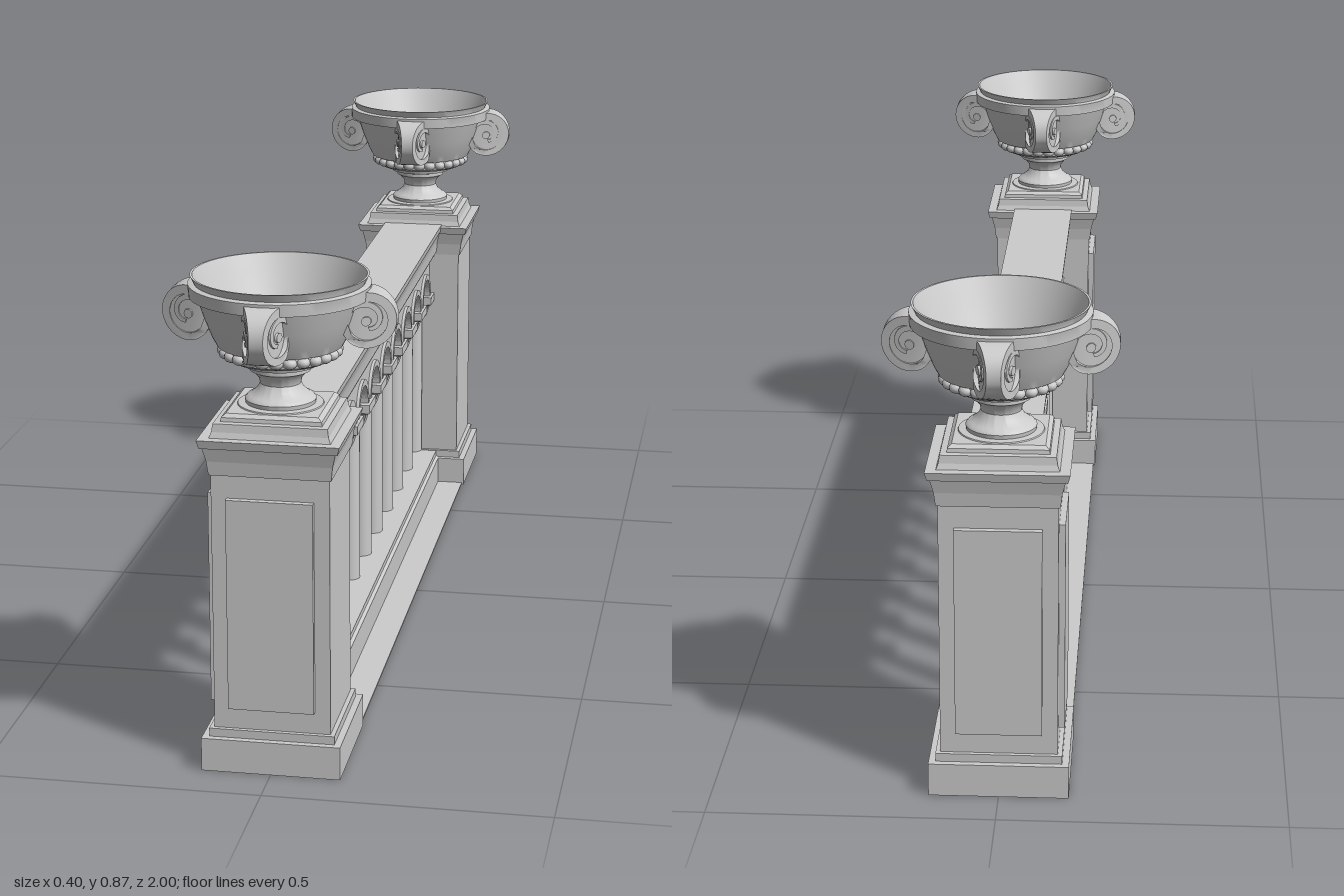
import * as THREE from 'three';
import { toCreasedNormals } from 'three/addons/utils/BufferGeometryUtils.js';

const material = new THREE.MeshStandardMaterial({ color: 0xcccccc });

function add(parent, name, geometry, x = 0, y = 0, z = 0) {
  const mesh = new THREE.Mesh(geometry, material);
  mesh.name = name;
  mesh.position.set(x, y, z);
  parent.add(mesh);
  return mesh;
}

const vectors = (points) => points.map(([x, y]) => new THREE.Vector2(x, y));
const crease = (geometry, angle = 0.6) => toCreasedNormals(geometry, angle);

// Turned part; with four sides the profile x is the half width of a square
function turned(points, sides = 48) {
  return crease(new THREE.LatheGeometry(vectors(points), sides));
}
function squareTurned(points) {
  const wide = points.map(([x, y]) => [x * Math.SQRT2, y]);
  return crease(new THREE.LatheGeometry(vectors(wide), 4, Math.PI / 4), 0.1);
}

// Shape extruded by depth, centred on its thickness
function slab(shape, depth) {
  const geometry = new THREE.ExtrudeGeometry(shape, { depth, bevelEnabled: false, curveSegments: 20 });
  return crease(geometry.translate(0, 0, -depth / 2));
}

// Symmetric cross-section from its right half (listed bottom to top)
function mirrored(half) {
  const left = half.map(([x, y]) => [-x, y]).reverse();
  return new THREE.Shape(vectors([...half, ...left]));
}

const PILLAR_Z = 0.8;
const SPACING = 0.1385;
const ARCH_Y = 0.445;
const ARCH_R = 0.048;

function createPillar(side) {
  const pillar = new THREE.Group();
  pillar.name = 'pillar';
  // Hollow foot, shaft, flared cap and stepped urn plinth
  add(pillar, 'pillarBody', squareTurned([
    [0, 0.05], [0.112, 0.05], [0.112, 0], [0.122, 0], [0.122, 0.06], [0.11, 0.06], [0.11, 0.075],
    [0.102, 0.075], [0.102, 0.535], [0.105, 0.535], [0.108, 0.56], [0.114, 0.585], [0.118, 0.585],
    [0.122, 0.6], [0.104, 0.6], [0.1, 0.61], [0.098, 0.624], [0.087, 0.625], [0.086, 0.632],
    [0.079, 0.638], [0, 0.638],
  ]).scale(1, 1, 0.965));
  // Raised panels on the outer end and on one long side
  const panel = new THREE.BoxGeometry(0.15, 0.38, 0.03);
  add(pillar, 'panel', panel, 0, 0.305, side * 0.095);
  add(pillar, 'panel', panel, -0.098, 0.305, 0).rotation.y = Math.PI / 2;
  return pillar;
}

// Scroll thins toward its outer edge and ends within the bowl wall
function taper(geometry) {
  const p = geometry.attributes.position;
  for (let i = 0; i < p.count; i++) {
    const wall = 0.12 + (p.getY(i) - 0.795) * 0.45;
    p.setX(i, Math.max(p.getX(i), wall));
    const t = THREE.MathUtils.clamp((p.getX(i) - 0.13) / 0.07, 0, 1);
    p.setZ(i, p.getZ(i) * THREE.MathUtils.lerp(0.038, 0.012, t));
  }
  return crease(geometry);
}

function createScroll() {
  const scroll = new THREE.Group();
  scroll.name = 'scroll';
  const cx = 0.152, cy = 0.795, steps = 48;
  const outer = [[0.12, cy + 0.05]], inner = [[0.12, cy + 0.034]];
  for (let i = 0; i <= steps; i++) {
    const t = i / steps;
    const a = Math.PI / 2 - t * Math.PI * 2.9;
    const r = 0.05 - 0.033 * t * t;
    const w = 0.016 - 0.009 * t;
    outer.push([cx + r * Math.cos(a), cy + r * Math.sin(a)]);
    inner.push([cx + (r - w) * Math.cos(a), cy + (r - w) * Math.sin(a)]);
  }
  add(scroll, 'scrollBand', taper(slab(new THREE.Shape(vectors([...outer, ...inner.reverse()])), 2)));
  const disc = (r) => new THREE.Shape().absarc(cx, cy, r, 0, Math.PI * 2, false);
  add(scroll, 'scrollCore', taper(slab(disc(0.042), 1.7)));
  add(scroll, 'scrollEye', taper(slab(disc(0.008), 2)));
  return scroll;
}

function createUrn() {
  const urn = new THREE.Group();
  urn.name = 'urn';
  // Foot, neck, bowl, rim and hollow inside
  add(urn, 'urnBody', turned([
    [0.075, 0.636], [0.073, 0.64], [0.06, 0.641], [0.061, 0.648], [0.057, 0.653],
    [0.052, 0.655], [0.04, 0.665], [0.035, 0.675], [0.037, 0.685], [0.046, 0.695], [0.052, 0.698],
    [0.052, 0.705], [0.064, 0.708], [0.066, 0.714], [0.085, 0.718], [0.097, 0.724], [0.098, 0.741],
    [0.107, 0.743], [0.116, 0.76], [0.128, 0.79], [0.137, 0.818], [0.14, 0.827], [0.154, 0.829],
    [0.155, 0.85], [0.145, 0.852], [0.151, 0.865], [0.147, 0.865], [0.135, 0.84], [0.112, 0.79],
    [0.092, 0.752], [0, 0.752],
  ], 64));
  // Ring of beads below the bowl
  const bead = new THREE.SphereGeometry(0.0125, 12, 8).scale(1, 0.8, 1);
  for (let i = 0; i < 26; i++) {
    const a = (i / 26) * Math.PI * 2;
    add(urn, 'bead', bead, 0.095 * Math.cos(a), 0.733, 0.095 * Math.sin(a));
  }
  for (let i = 0; i < 4; i++) {
    const scroll = createScroll();
    scroll.rotation.y = (i * Math.PI) / 2;
    urn.add(scroll);
  }
  return urn;
}

function createRailing() {
  const railing = new THREE.Group();
  railing.name = 'railing';
  // Hollow plinth wall with a flat ledge at the ground on both sides
  add(railing, 'basePlinth', slab(mirrored([
    [0.055, 0.055], [0.055, 0], [0.118, 0], [0.118, 0.004], [0.063, 0.004],
    [0.063, 0.06], [0.057, 0.064], [0.057, 0.075],
  ]), 1.38));
  // Narrow top rail with coved sides
  add(railing, 'topRail', slab(mirrored([
    [0.048, 0.532], [0.048, 0.541], [0.053, 0.542], [0.055, 0.565], [0.06, 0.585], [0.063, 0.59], [0.064, 0.603],
  ]), 1.4));

  // Arcade wall, cut by a row of round arches
  const wall = new THREE.Shape().moveTo(-0.7, ARCH_Y);
  const centres = Array.from({ length: 10 }, (_, i) => (i - 4.5) * SPACING);
  for (const c of centres) {
    wall.lineTo(c - ARCH_R, ARCH_Y);
    wall.absarc(c, ARCH_Y, ARCH_R, Math.PI, 0, true);
  }
  wall.lineTo(0.7, ARCH_Y).lineTo(0.7, 0.54).lineTo(-0.7, 0.54);
  add(railing, 'arcadeWall', slab(wall, 0.074)).rotation.y = -Math.PI / 2;

  // Raised arch mouldings
  const ring = new THREE.Shape().absarc(0, 0, 0.06, 0, Math.PI, false);
  ring.absarc(0, 0, ARCH_R, Math.PI, 0, true);
  const ringGeometry = slab(ring, 0.086);
  for (const c of centres) add(railing, 'archMoulding', ringGeometry, 0, ARCH_Y, c).rotation.y = -Math.PI / 2;

  // Columns with capitals; the end ones are half sunk in the pillars
  const column = new THREE.CylinderGeometry(0.022, 0.023, 0.33, 24);
  const capital = squareTurned([
    [0, 0.395], [0.024, 0.395], [0.026, 0.404], [0.031, 0.424], [0.037, 0.428], [0.037, ARCH_Y], [0, ARCH_Y],
  ]).scale(1.3, 1, 1);
  for (let i = -5; i <= 5; i++) {
    add(railing, 'column', column, 0, 0.235, i * SPACING);
    add(railing, 'capital', capital, 0, 0, i * SPACING);
  }
  return railing;
}

export function createModel() {
  const model = new THREE.Group();
  model.name = 'balustrade';
  model.add(createRailing());
  for (const side of [1, -1]) {
    const post = new THREE.Group();
    post.name = side > 0 ? 'frontPost' : 'backPost';
    post.position.z = side * PILLAR_Z;
    post.add(createPillar(side), createUrn());
    model.add(post);
  }
  return model;
}
